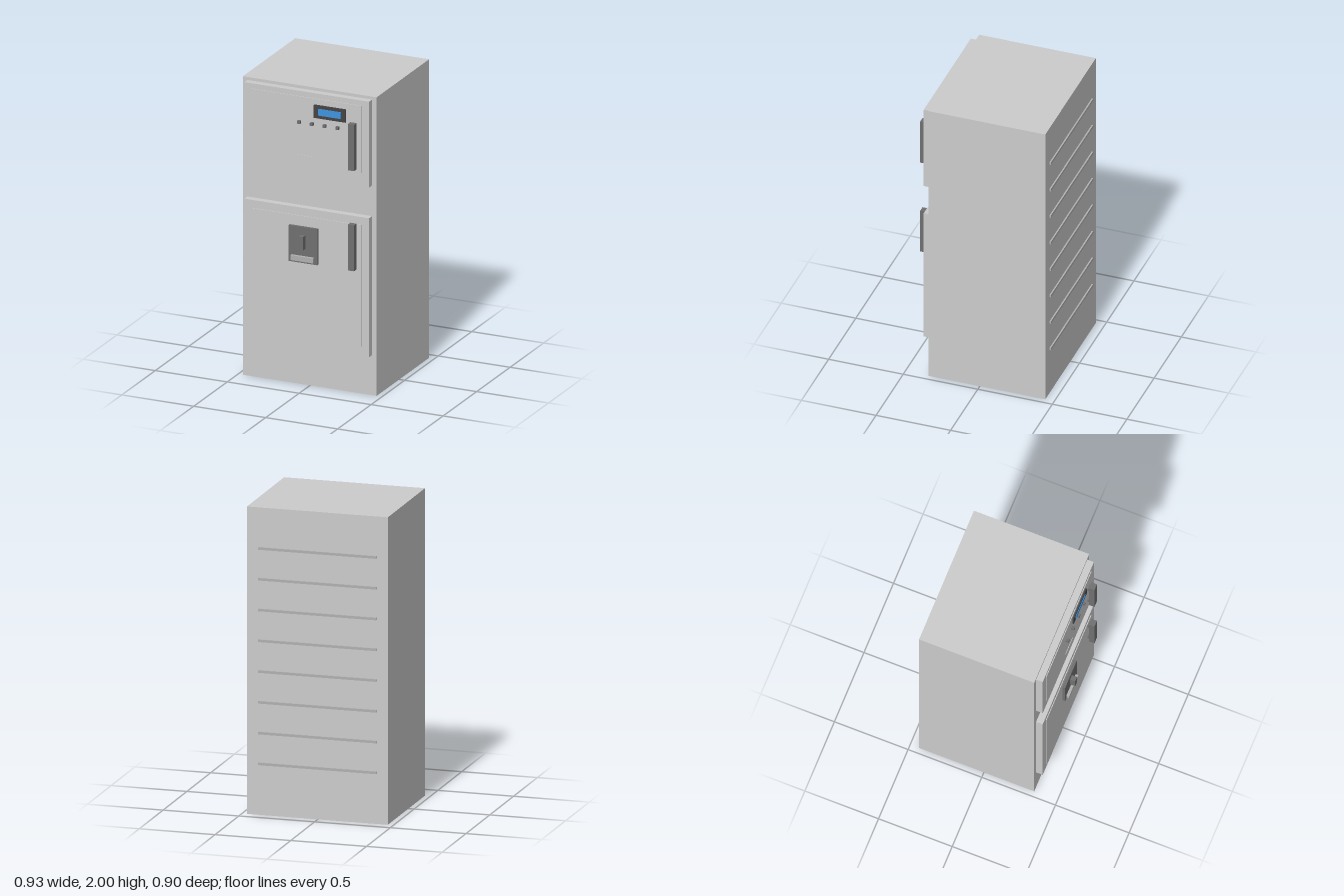
import * as THREE from 'three';

const mat = (color) => new THREE.MeshStandardMaterial({ color });

export function createModel() {
  const model = new THREE.Group();
  const grey = mat(0xcccccc);
  const dark = mat(0x707070);
  const darker = mat(0x444444);
  const light = mat(0xb0b0b0);
  const blue = mat(0x3f93e0);

  // box given by its limits on each axis
  const box = (name, [x0, x1], [y0, y1], [z0, z1], material = grey, parent = model) => {
    const mesh = new THREE.Mesh(new THREE.BoxGeometry(x1 - x0, y1 - y0, z1 - z0), material);
    mesh.position.set((x0 + x1) / 2, (y0 + y1) / 2, (z0 + z1) / 2);
    mesh.name = name;
    parent.add(mesh);
    return mesh;
  };

  // cabinet
  box('cabinet', [-0.465, 0.465], [0.002, 2], [-0.44, 0.342]);

  // doors, each with a slightly raised panel
  const door = (name, y, panelY) => {
    const group = new THREE.Group();
    group.name = name;
    box('doorSlab', [-0.433, 0.433], y, [0.342, 0.387], grey, group);
    box('doorPanel', [-0.38, 0.38], panelY, [0.387, 0.392], grey, group);
    model.add(group);
  };
  door('freezerDoor', [1.405, 1.98], [1.495, 1.945]);
  door('fridgeDoor', [0.27, 1.2], [0.335, 1.147]);

  // handles: a bar on two mounts
  const handle = (name, y0, y1) => {
    const group = new THREE.Group();
    group.name = name;
    box('handleBar', [0.31, 0.353], [y0, y1], [0.402, 0.44], dark, group);
    for (const y of [y0 + 0.055, y1 - 0.055]) {
      box('handleMount', [0.315, 0.348], [y - 0.02, y + 0.02], [0.387, 0.402], dark, group);
    }
    model.add(group);
  };
  handle('freezerHandle', 1.52, 1.83);
  handle('fridgeHandle', 0.85, 1.157);

  // control display and buttons
  box('displayBezel', [0.055, 0.276], [1.82, 1.907], [0.39, 0.402], darker);
  box('displayScreen', [0.088, 0.245], [1.841, 1.886], [0.4, 0.406], blue);
  for (let i = 0; i < 4; i++) {
    const x = -0.047 + i * 0.089;
    box('button', [x - 0.01, x + 0.01], [1.767, 1.786], [0.39, 0.412], dark);
  }

  // name plate
  box('plate', [-0.057, 0.057], [1.53, 1.557], [0.39, 0.395]);

  // water dispenser with lever and drip tray
  box('dispenserPanel', [-0.115, 0.085], [0.84, 1.08], [0.39, 0.411], dark);
  box('dispenserLever', [-0.031, 0.001], [0.937, 1.027], [0.41, 0.446], dark);
  box('dripTray', [-0.094, 0.062], [0.855, 0.888], [0.41, 0.43], light);

  // rear vent ribs
  for (let i = 0; i < 8; i++) {
    const y = 0.335 + i * 0.2;
    box('ventRib', [-0.39, 0.39], [y - 0.008, y + 0.008], [-0.45, -0.44], light);
  }

  // feet, almost flush with the base
  for (const x of [-0.37, 0.37]) {
    for (const z of [-0.36, 0.26]) {
      box('foot', [x - 0.03, x + 0.03], [0, 0.02], [z - 0.03, z + 0.03], darker);
    }
  }

  return model;
}
